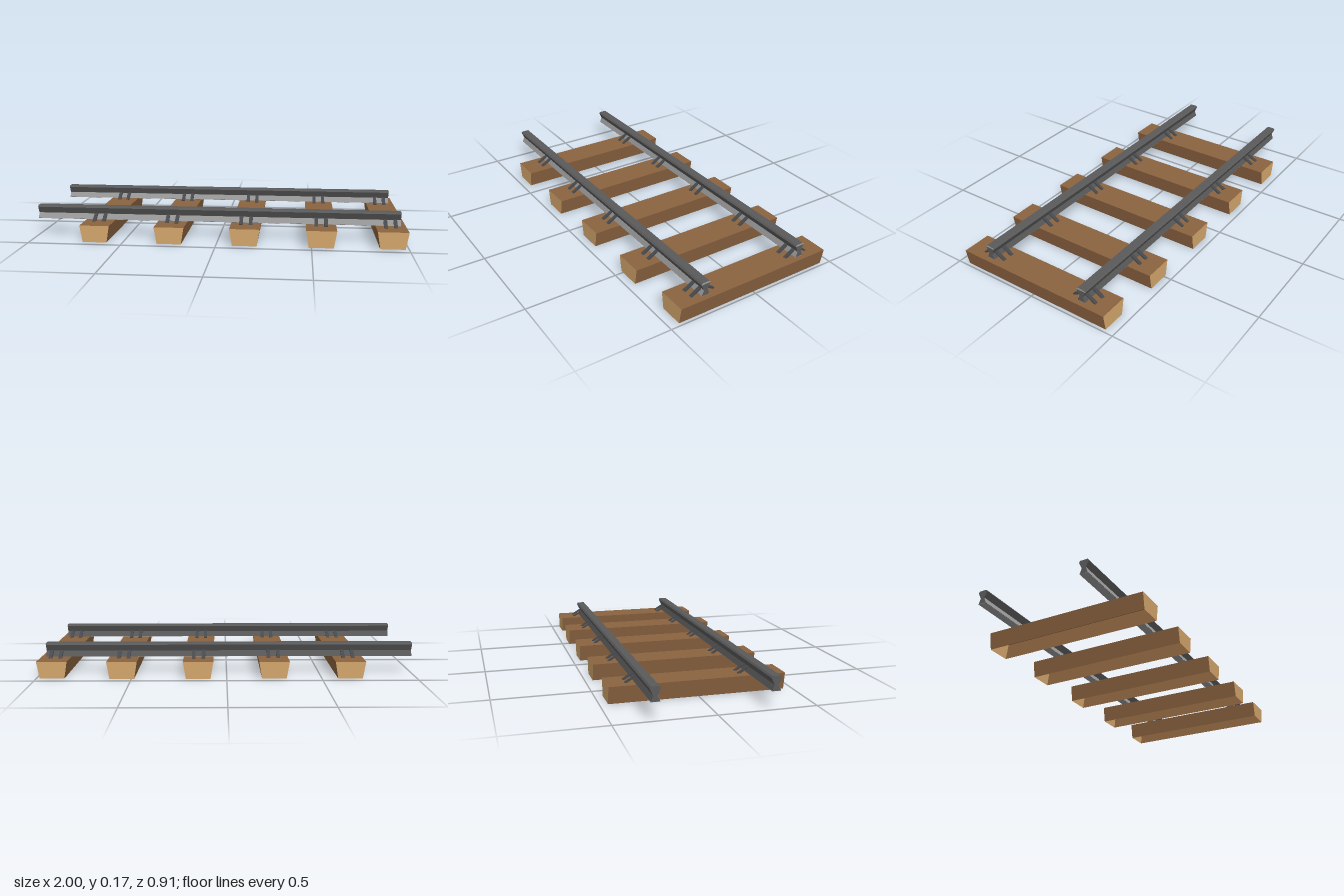
import * as THREE from 'three';

export function createModel() {
  const group = new THREE.Group();
  const mat = (name, color, extra = {}) =>
    Object.assign(new THREE.MeshStandardMaterial({ color, flatShading: true, ...extra }), { name });
  const wood = mat('brownWood', 0x8b633f, { side: THREE.DoubleSide });
  const endGrain = mat('tanEndGrain', 0xd4a66c, { side: THREE.DoubleSide });
  const steel = mat('railSteel', 0x5a5a5a);
  const brightSteel = mat('brightSteel', 0x9c9c9c);
  const iron = mat('clipIron', 0x45484c);

  const add = (name, geometry, material, x, y, z) => {
    const mesh = new THREE.Mesh(geometry, material);
    mesh.name = name;
    mesh.position.set(x, y, z);
    group.add(mesh);
    return mesh;
  };

  // Tapered sleeper shell, open underneath, with paler ends
  const sleeperGeometry = (length) => {
    const g = new THREE.BoxGeometry(0.16, 0.09, length);
    const p = g.attributes.position;
    for (let i = 0; i < p.count; i++) if (p.getY(i) < 0) p.setX(i, p.getX(i) * 0.81);
    const index = Array.from(g.index.array);
    index.splice(18, 6); // drop the underside
    g.setIndex(index);
    g.clearGroups();
    g.addGroup(0, 18, 0);
    g.addGroup(18, 12, 1);
    g.computeVertexNormals();
    return g;
  };

  // Extrudes a symmetric (z, y) half profile along +x
  const extrudeProfile = (half, length) => {
    const outline = [...half, ...half.slice().reverse().map(([z, y]) => [-z, y])];
    const shape = new THREE.Shape(outline.map(([z, y]) => new THREE.Vector2(z, y)));
    return new THREE.ExtrudeGeometry(shape, { depth: length, bevelEnabled: false }).rotateY(Math.PI / 2);
  };

  // Rail: wide head, narrow waist, flared foot
  const head = [[0.027, 0.156], [0.02, 0.165]];
  const railGeometry = extrudeProfile([[0.022, 0.092], [0.011, 0.122], ...head], 1.97);
  const headEndGeometry = extrudeProfile(head, 0.002);
  const footFaceGeometry = new THREE.BoxGeometry(1.97, 0.031, 0.002);
  const footBaseGeometry = new THREE.BoxGeometry(1.97, 0.002, 0.043);

  const railZ = [0.287, -0.299];
  for (const z of railZ) {
    add('rail', railGeometry, steel, -1, 0, z);
    add('railHeadEnd', headEndGeometry, brightSteel, 0.969, 0, z);
    // Bright front face and underside of the foot
    add('railFootFace', footFaceGeometry, brightSteel, -0.015, 0.107, z + 0.0165).rotation.x = -0.35;
    add('railFootBase', footBaseGeometry, brightSteel, -0.015, 0.092, z);
  }

  // Sleepers, each with two pairs of sloping clips on every rail
  const clipGeometry = new THREE.BoxGeometry(0.019, 0.007, 0.069);
  [-0.65, -0.25, 0.15, 0.55, 0.917].forEach((x, i) => {
    const last = i === 4;
    add('sleeper', sleeperGeometry(last ? 0.893 : 0.912), [wood, endGrain], x, 0.045, -0.002);
    for (const z of railZ) for (const dx of [-0.026, 0.026]) for (const s of [-1, 1]) {
      const clip = add('railClip', clipGeometry, iron, x + dx - (last ? 0.003 : 0), 0.106, z + s * 0.038);
      clip.rotation.x = s * 0.54;
    }
  });

  return group;
}
